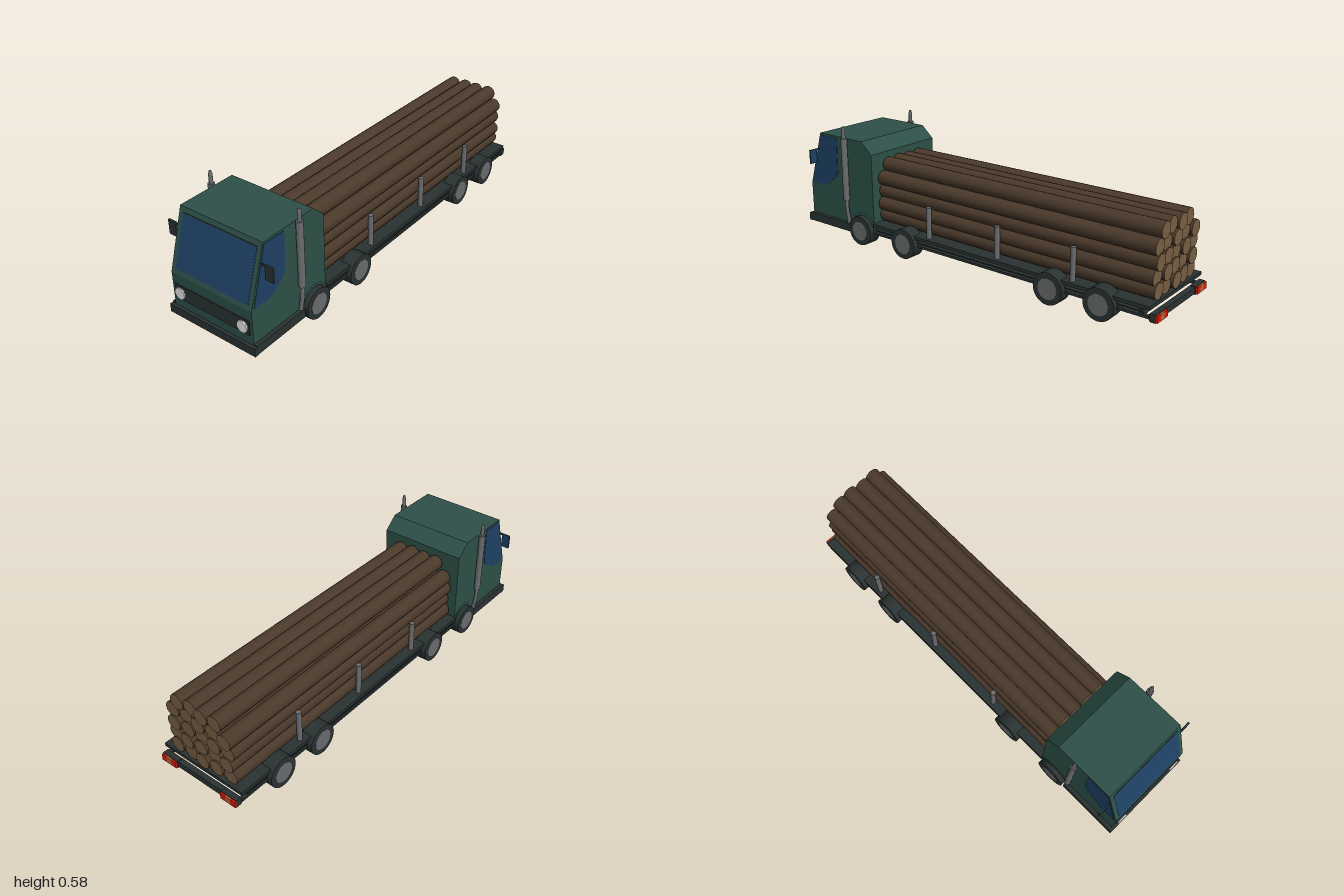
import * as THREE from 'three';

export function createModel() {
  const model = new THREE.Group();
  const mat = (name, color) => {
    const m = new THREE.MeshStandardMaterial({ color });
    m.name = name;
    return m;
  };
  const green = mat('cab green', 0x2d5048);
  const dark = mat('dark trim', 0x2a3232);
  const glass = mat('blue glass', 0x1f4165);
  const metal = mat('grey metal', 0x6a6c6f);
  const white = mat('lamp white', 0xe6e6e6);
  const bark = mat('bark', 0x4b3a2b);
  const wood = mat('cut wood', 0x786043);
  const red = mat('lamp red', 0xd81c08);
  const amber = mat('lamp amber', 0xb8683a);

  const add = (name, geometry, material, x = 0, y = 0, z = 0, parent = model) => {
    const mesh = new THREE.Mesh(geometry, material);
    mesh.name = name;
    mesh.position.set(x, y, z);
    parent.add(mesh);
    return mesh;
  };
  // Box given by its limits on each axis
  const box = (name, material, [x0, x1], [y0, y1], [z0, z1]) =>
    add(name, new THREE.BoxGeometry(x1 - x0, y1 - y0, z1 - z0), material,
      (x0 + x1) / 2, (y0 + y1) / 2, (z0 + z1) / 2);
  // Side profile given as [z, y] points, extruded across x
  const profile = (points, width) => {
    const shape = new THREE.Shape(points.map(([z, y]) => new THREE.Vector2(z, y)));
    return new THREE.ExtrudeGeometry(shape, { depth: width, bevelEnabled: false })
      .rotateY(-Math.PI / 2).translate(width / 2, 0, 0);
  };

  // Cab shell
  add('cab', profile([[0.545, 0.052], [0.985, 0.052], [0.985, 0.25], [0.9, 0.522],
    [0.61, 0.522], [0.545, 0.465]], 0.434), green);

  // Windscreen lying on the sloped front, with a seal along its top
  const slope = Math.atan2(0.085, 0.272);
  const onSlope = (name, material, y0, y1, width, thick) => {
    const y = (y0 + y1) / 2;
    const z = 0.985 - (y - 0.25) * Math.tan(slope);
    const mesh = add(name, new THREE.BoxGeometry(width, (y1 - y0) / Math.cos(slope), thick), material, 0, y, z);
    mesh.rotation.x = -slope;
  };
  onSlope('windscreenSeal', dark, 0.496, 0.5, 0.392, 0.004);
  onSlope('windscreen', glass, 0.268, 0.496, 0.392, 0.003);

  // Grille, bumper and headlights
  box('grille', dark, [-0.202, 0.202], [0.131, 0.2], [0.983, 0.989]);
  box('bumper', dark, [-0.235, 0.235], [0.048, 0.087], [0.98, 1]);
  const lampGeo = new THREE.CylinderGeometry(0.027, 0.028, 0.012, 24).rotateX(Math.PI / 2);
  const rimGeo = new THREE.CylinderGeometry(0.029, 0.029, 0.006, 24).rotateX(Math.PI / 2);

  const sideWindow = profile([[0.972, 0.255], [0.896, 0.512], [0.783, 0.512],
    [0.787, 0.335], [0.802, 0.308], [0.88, 0.255]], 0.004);
  const stack = new THREE.LatheGeometry([[0, 0.205], [0.011, 0.213], [0.0155, 0.215], [0.0155, 0.525],
    [0.009, 0.525], [0.009, 0.567], [0.005, 0.583], [0, 0.584]]
    .map(([r, y]) => new THREE.Vector2(r, y)), 16).toNonIndexed();
  stack.computeVertexNormals();
  const archGeo = new THREE.TorusGeometry(0.079, 0.008, 6, 20, Math.PI).rotateY(Math.PI / 2);

  // Parts mirrored on both sides of the cab
  for (const s of [-1, 1]) {
    const span = (a, b) => (s > 0 ? [a, b] : [-b, -a]);
    add('headlightRim', rimGeo, metal, s * 0.17, 0.165, 0.99);
    add('headlight', lampGeo, white, s * 0.17, 0.165, 0.992);
    add('sideWindow', sideWindow, glass, s * 0.217, 0, 0);
    box('sideSkirt', dark, span(0.215, 0.235), [0.05, 0.092], [0.7, 0.985]);
    add('wheelArch', archGeo, green, s * 0.213, 0.073, 0.62);

    box('mirrorArm', dark, span(0.215, 0.24), [0.433, 0.441], [0.914, 0.92]);
    box('mirrorHousing', dark, span(0.237, 0.278), [0.372, 0.441], [0.914, 0.92]);
    box('mirrorGlass', glass, span(0.237, 0.278), [0.372, 0.441], [0.911, 0.914]);

    add('exhaustStack', stack, metal, s * 0.235, 0, 0.712);
    const bend = new THREE.CatmullRomCurve3([[0.224, 0.09], [0.227, 0.115], [0.234, 0.165], [0.235, 0.22]]
      .map(([x, y]) => new THREE.Vector3(s * x, y, 0.712)));
    add('exhaustPipe', new THREE.TubeGeometry(bend, 12, 0.0095, 12), metal);
  }

  // Trailer bed: deck, thin side rails and rear bar
  box('deck', dark, [-0.225, 0.225], [0.105, 0.121], [-0.968, 0.545]);
  box('rearBar', dark, [-0.215, 0.215], [0.057, 0.086], [-0.988, -0.962]);
  for (const s of [-1, 1]) {
    const rail = [s * 0.21 - 0.01, s * 0.21 + 0.01];
    box('upperRail', dark, rail, [0.087, 0.093], [-0.935, 0.545]);
    box('lowerRail', dark, rail, [0.066, 0.077], [-0.965, 0.545]);
    box('rearBracket', dark, [s * 0.19 - 0.02, s * 0.19 + 0.02], [0.07, 0.11], [-0.935, -0.915]);
    // Rear lamp cluster
    box('rearLampHousing', dark, [s * 0.172 - 0.043, s * 0.172 + 0.043], [0.053, 0.09], [-0.992, -0.965]);
    for (const [i, m] of [red, amber, red].entries()) {
      const x = s * (0.145 + i * 0.028);
      box('rearLamp', m, [x - 0.014, x + 0.014], [0.056, 0.087], [-1, -0.991]);
    }
    // Stakes holding the load
    for (const z of [0.2, -0.2, -0.595]) {
      add('stake', new THREE.CylinderGeometry(0.0125, 0.0125, 0.155, 12), metal, s * 0.198, 0.195, z);
    }
  }

  // Wheels
  const tyreGeo = new THREE.CylinderGeometry(0.073, 0.073, 0.065, 28).rotateZ(Math.PI / 2);
  const hubGeo = new THREE.CylinderGeometry(0.048, 0.048, 0.004, 24).rotateZ(Math.PI / 2);
  for (const z of [0.62, 0.33, -0.5, -0.747]) {
    for (const s of [-1, 1]) {
      add('tyre', tyreGeo, dark, s * 0.2105, 0.073, z);
      add('hub', hubGeo, metal, s * 0.2425, 0.073, z);
    }
  }

  // Stacked logs: slightly shifted rows of five under a top row of four, with uneven ends
  const logs = new THREE.Group();
  logs.name = 'logs';
  model.add(logs);
  const rowShift = [-0.004, 0.004, -0.004, 0.003, 0.01];
  for (let row = 0; row < 5; row++) {
    const count = row === 4 ? 4 : 5;
    const pitch = row === 4 ? 0.069 : 0.074;
    for (let col = 0; col < count; col++) {
      const x = rowShift[row] + (col - (count - 1) / 2) * pitch;
      const y = 0.156 + row * 0.062 + 0.002 * ((row + col * 2) % 3 - 1);
      const back = -0.952 - 0.013 * ((row * 3 + col * 2) % 5) / 4;
      const length = 0.535 - back;
      const geo = new THREE.CylinderGeometry(0.0365, 0.0365, length, 16).rotateX(Math.PI / 2);
      add('log', geo, [bark, wood, wood], x, y, 0.535 - length / 2, logs);
    }
  }
  return model;
}
